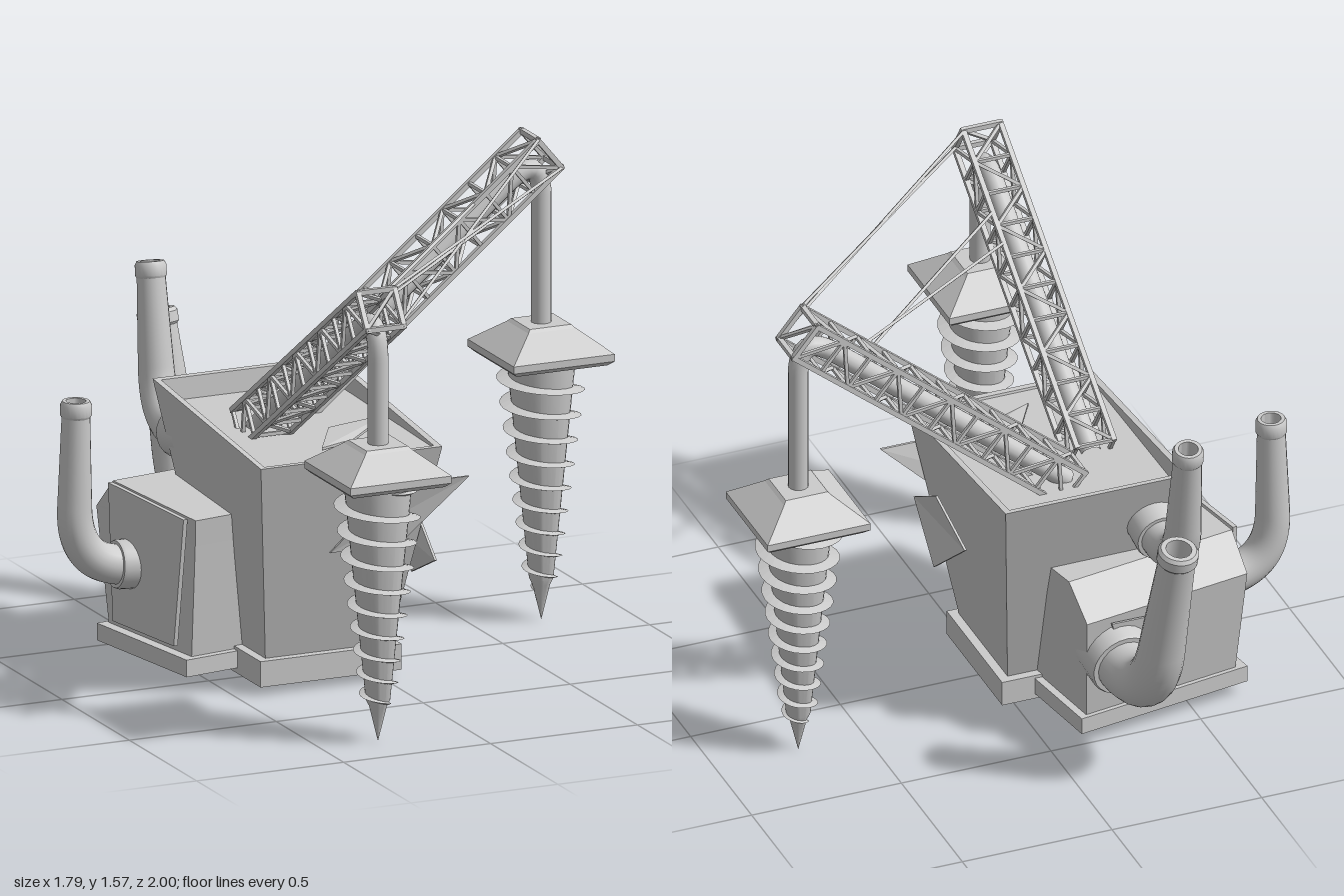
import * as THREE from 'three';
import { mergeGeometries, toCreasedNormals } from 'three/addons/utils/BufferGeometryUtils.js';

const V = (x, y, z) => new THREE.Vector3(x, y, z);
const UP = V(0, 1, 0);
const smooth = new THREE.MeshStandardMaterial({ color: 0xcccccc, side: THREE.DoubleSide });
const flat = new THREE.MeshStandardMaterial({ color: 0xcccccc, flatShading: true, side: THREE.DoubleSide });

function add(parent, name, geometry, material = flat) {
  const mesh = new THREE.Mesh(geometry, material);
  mesh.name = name;
  parent.add(mesh);
  return mesh;
}

// Skin a list of equal-length rings and close both ends
function loft(rings) {
  const n = rings[0].length, index = [];
  rings.slice(1).forEach((_, k) => {
    for (let i = 0; i < n; i++) {
      const a = k * n + i, b = k * n + (i + 1) % n;
      index.push(a, b, b + n, a, b + n, a + n);
    }
  });
  const last = (rings.length - 1) * n;
  for (let i = 1; i < n - 1; i++) index.push(0, i + 1, i, last, last + i, last + i + 1);
  const g = new THREE.BufferGeometry();
  g.setAttribute('position', new THREE.Float32BufferAttribute(rings.flat(2), 3));
  g.setIndex(index);
  const out = g.toNonIndexed();
  out.computeVertexNormals();
  return out;
}

// Four-cornered ring whose height may differ between front and back
const ring = (x0, x1, zFront, zBack, yFront, yBack = yFront) =>
  [[x0, yFront, zFront], [x1, yFront, zFront], [x1, yBack, zBack], [x0, yBack, zBack]];

// Square bar between two points
function bar(a, b, size) {
  const d = b.clone().sub(a);
  const g = new THREE.BoxGeometry(size, d.length() + size * 0.6, size);
  g.applyQuaternion(new THREE.Quaternion().setFromUnitVectors(UP, d.normalize()));
  const m = a.clone().add(b).multiplyScalar(0.5);
  return g.translate(m.x, m.y, m.z);
}

// Thin bent plate given by its outline, thickened along a direction
function plate(points, push) {
  const shift = points.map(p => p.map((c, i) => c + push[i]));
  return loft([points, shift]);
}

// Square cap, tapered core with a spike, and a helical blade
function makeDrill() {
  const drill = new THREE.Group();
  drill.name = 'drill';
  const sq = (h, y) => ring(-h, h, h, -h, y);
  add(drill, 'drillCap', loft([sq(0.155, 0.855), sq(0.172, 0.87), sq(0.172, 0.893), sq(0.08, 0.965), sq(0.07, 0.975)]));
  const profile = [[0, 0.015], [0.028, 0.13], [0.038, 0.15], [0.108, 0.86]].map(p => new THREE.Vector2(...p));
  add(drill, 'drillCore', toCreasedNormals(new THREE.LatheGeometry(profile, 28), 0.5), smooth);
  const rings = [], turns = 9.5, steps = turns * 24;
  for (let i = 0; i <= steps; i++) {
    const u = i / steps, t = u * turns * Math.PI * 2;
    const y = 0.835 - 0.72 * (1.12 * u - 0.12 * u * u);
    const core = 0.028 + 0.078 * (y - 0.12) / 0.74;
    const grow = Math.min(1, (1 - u) * 12 + 0.1, u * 20 + 0.1);
    const blade = core + (0.024 + 0.018 * (1 - u)) * grow;
    const h = 0.014 - 0.004 * u;
    const at = (r, yy) => [r * Math.cos(t), yy, -r * Math.sin(t)];
    rings.push([at(core - 0.012, y - h), at(core - 0.012, y + h), at(blade, y)]);
  }
  add(drill, 'drillBlade', loft(rings));
  return drill;
}

// Lattice boom leaning out along local +x, with an inner pipe holding a drill
function makeCrane(name, start, end, drillX) {
  const crane = new THREE.Group();
  crane.name = name;
  const dir = end.clone().sub(start).normalize();
  const side = V(-dir.y, dir.x, 0);
  const half = 0.062, bays = 10;
  const corner = (k, c) => start.clone().lerp(end, k / bays)
    .addScaledVector(side, (c === 0 || c === 1 ? 1 : -1) * half)
    .add(V(0, 0, (c === 1 || c === 2 ? 1 : -1) * half));
  const bars = [];
  for (let c = 0; c < 4; c++) {
    const d = (c + 1) % 4;
    bars.push(bar(corner(0, c), corner(bays, c), 0.016));
    for (let k = 0; k <= bays; k++) {
      bars.push(bar(corner(k, c), corner(k, d), k === bays ? 0.016 : 0.011));
      if (k < bays) bars.push((k + (c >> 1)) % 2
        ? bar(corner(k, c), corner(k + 1, d), 0.011)
        : bar(corner(k, d), corner(k + 1, c), 0.011));
    }
  }
  bars.push(bar(corner(bays, 0), corner(bays, 2), 0.011));
  add(crane, 'boomLattice', mergeGeometries(bars));

  const onAxis = x => V(x, start.y + (x - start.x) * dir.y / dir.x, 0);
  const elbow = onAxis(drillX), bendStart = onAxis(drillX - 0.12);
  const bendEnd = elbow.clone().add(V(0, -0.15, 0));
  const path = new THREE.CurvePath();
  path.add(new THREE.LineCurve3(start, bendStart));
  path.add(new THREE.QuadraticBezierCurve3(bendStart, elbow, bendEnd));
  path.add(new THREE.LineCurve3(bendEnd, V(drillX, 0.95, 0)));
  add(crane, 'drivePipe', new THREE.TubeGeometry(path, 90, 0.032, 16), smooth);
  const drill = makeDrill();
  drill.position.x = drillX;
  crane.add(drill);
  return crane;
}

// Tapering exhaust: collar on the wall, bent pipe, hollow lip at the mouth
function makeExhaust(name, points, r0, r1) {
  const exhaust = new THREE.Group();
  exhaust.name = name;
  const [a, b, c] = points.map(p => V(...p));
  const p = b.clone().lerp(a, 0.85), q = b.clone().lerp(c, 0.36);
  const path = new THREE.CurvePath();
  path.add(new THREE.LineCurve3(a, p));
  path.add(new THREE.QuadraticBezierCurve3(p, b, q));
  path.add(new THREE.LineCurve3(q, c));
  const n = 48, sides = 20;
  const g = new THREE.TubeGeometry(path, n, 1, sides);
  const pos = g.attributes.position, v = V(0, 0, 0);
  for (let i = 0; i <= n; i++) {
    const centre = path.getPointAt(i / n), r = r0 + (r1 - r0) * i / n;
    for (let j = 0; j <= sides; j++) {
      const k = i * (sides + 1) + j;
      v.fromBufferAttribute(pos, k).sub(centre).multiplyScalar(r).add(centre);
      pos.setXYZ(k, v.x, v.y, v.z);
    }
  }
  add(exhaust, 'exhaustPipe', g, smooth);
  const turned = (part, profile, at, d) => {
    const lathe = new THREE.LatheGeometry(profile.map(s => new THREE.Vector2(...s)), 24);
    const mesh = add(exhaust, part, toCreasedNormals(lathe, 0.6), smooth);
    mesh.position.copy(at);
    mesh.quaternion.setFromUnitVectors(UP, d.normalize());
  };
  const o = r1 * 1.15, inner = r1 * 0.72;
  turned('exhaustLip', [[r1, -0.055], [o, -0.045], [o, -0.012], [r1, 0], [inner, 0], [inner, -0.12], [0, -0.12]], c, c.clone().sub(b));
  const w = r0 * 1.2;
  turned('exhaustCollar', [[w, -0.08], [w, 0.045], [w * 0.95, 0.055], [r0 * 0.9, 0.055]], a, b.clone().sub(a));
  return exhaust;
}

export function createModel() {
  const model = new THREE.Group();
  model.name = 'drillingMachine';

  // Main hull: flared walls, raised rear rim and a sunken deck
  const hull = new THREE.Group();
  hull.name = 'mainHull';
  add(hull, 'hullBase', loft([ring(-0.425, 0.055, 0.22, -0.235, 0.042), ring(-0.425, 0.055, 0.22, -0.235, 0.125)]));
  add(hull, 'hullBody', loft([
    ring(-0.395, 0.025, 0.19, -0.205, 0.12), ring(-0.49, 0.127, 0.365, -0.44, 0.79, 0.872),
    ring(-0.47, 0.107, 0.345, -0.42, 0.79, 0.87), ring(-0.47, 0.107, 0.343, -0.415, 0.782, 0.8)]));
  // Torn plates at the front corner and on the deck
  add(hull, 'tornFrontPlate', plate([[-0.22, 0.47, 0.285], [0, 0.47, 0.3], [0.225, 0.68, 0.345], [-0.03, 0.68, 0.345]], [0, 0, 0.008]));
  add(hull, 'tornSidePlate', plate([[0.08, 0.44, 0.41], [0.115, 0.335, 0.16], [0.085, 0.49, -0.02], [0.105, 0.585, 0.17]], [0.008, 0, 0]));
  add(hull, 'tornDeckPlate', plate([[-0.23, 0.79, 0.25], [-0.1, 0.79, 0.2], [0.07, 0.815, 0.07], [-0.13, 0.8, 0.08]], [0, 0.008, 0]));
  model.add(hull);

  // Engine housing: turned slightly, with a sloped rear shoulder
  const engine = new THREE.Group();
  engine.name = 'engineHousing';
  engine.position.set(-0.335, 0, -0.22);
  engine.rotation.y = 0.16;
  add(engine, 'engineBase', loft([ring(-0.32, 0.28, 0.25, -0.25, 0.06), ring(-0.32, 0.28, 0.25, -0.25, 0.115)]));
  add(engine, 'engineBody', loft([
    ring(-0.285, 0.255, 0.225, -0.235, 0.11), ring(-0.295, 0.285, 0.26, -0.29, 0.48),
    ring(-0.3, 0.29, 0.27, -0.19, 0.565, 0.585)]));
  add(engine, 'sidePanel', plate([[-0.3, 0.14, -0.17], [-0.3, 0.14, 0.17], [-0.31, 0.565, 0.24], [-0.31, 0.585, -0.18]], [-0.015, 0, 0]));
  add(engine, 'rearPanel', plate([[0.1, 0.13, -0.245], [-0.06, 0.14, -0.245], [0.02, 0.44, -0.292], [0.2, 0.46, -0.292]], [0, 0, -0.008]));
  model.add(engine);

  // Exhausts: wall point, elbow, mouth
  model.add(makeExhaust('sideExhaust', [[-0.65, 0.345, -0.25], [-0.845, 0.36, -0.25], [-0.835, 0.89, -0.255]], 0.065, 0.043));
  model.add(makeExhaust('rearExhaust', [[-0.21, 0.33, -0.53], [-0.22, 0.3, -0.79], [-0.25, 0.94, -0.935]], 0.092, 0.056));
  model.add(makeExhaust('upperExhaust', [[-0.385, 0.69, -0.415], [-0.38, 0.66, -0.63], [-0.365, 1.16, -0.73]], 0.07, 0.043));

  // Two cranes at right angles
  const sideCrane = makeCrane('sideCrane', V(-0.175, 0.79, 0), V(0.72, 1.53, 0), 0.72);
  sideCrane.position.z = -0.195;
  const frontCrane = makeCrane('frontCrane', V(-0.08, 0.79, 0), V(0.85, 1.41, 0), 0.83);
  frontCrane.position.x = -0.305;
  frontCrane.rotation.y = -Math.PI / 2;
  model.add(sideCrane, frontCrane);

  // Stay cables between the booms
  [[[-0.24, 1.46, 0.81], [0.76, 1.48, -0.13]], [[-0.24, 1.37, 0.87], [0.68, 1.58, -0.13]],
    [[-0.24, 1.305, 0.57], [0.5, 1.325, -0.13]], [[-0.24, 1.245, 0.48], [0.46, 1.4, -0.13]]]
    .forEach(([a, b]) => add(model, 'stayCable', bar(V(...a), V(...b), 0.009)));
  return model;
}
